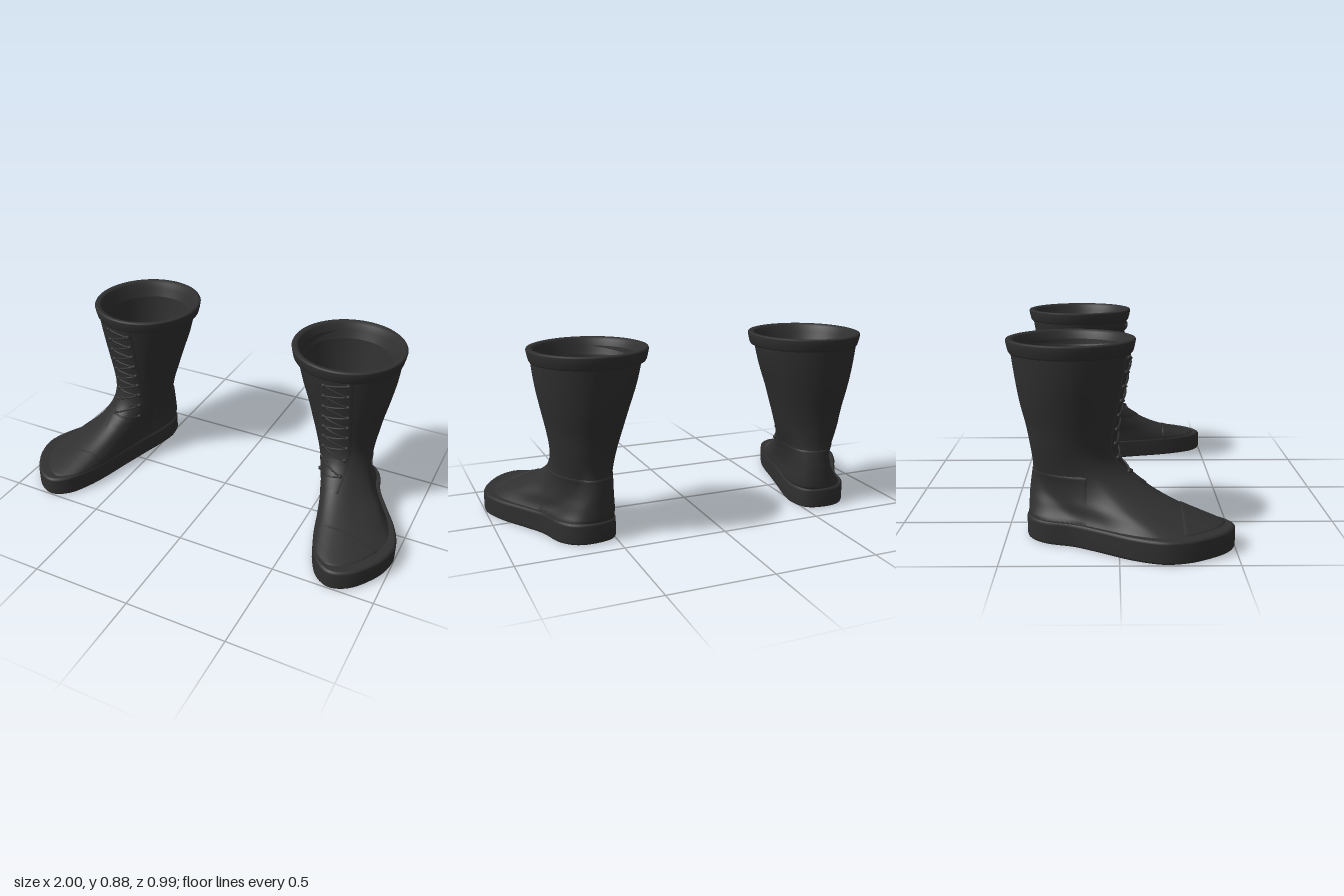
import * as THREE from 'three';
import { mergeGeometries } from 'three/addons/utils/BufferGeometryUtils.js';

const N = 100; // points around each cross-section

// Footprint outline (x, z), from the heel round the outer side to the toe and back
const FOOT = [
  [0.60, -0.41], [0.70, -0.39], [0.76, -0.32], [0.80, -0.20], [0.87, -0.08],
  [0.945, 0.04], [0.985, 0.13], [1.00, 0.20], [0.985, 0.29], [0.94, 0.38],
  [0.87, 0.465], [0.78, 0.50], [0.70, 0.455], [0.65, 0.37], [0.61, 0.26],
  [0.57, 0.10], [0.53, -0.05], [0.49, -0.20], [0.48, -0.29], [0.505, -0.375],
];
const SOLE_BOX = [0.48, 1.0, -0.41, 0.50, 0];
const CUFF_BOX = [0.285, 0.84, -0.495, 0.075, 1];

// The footprint scaled to the square from -1 to 1
const outline = new THREE.CatmullRomCurve3(
  FOOT.map(([x, z]) => new THREE.Vector3((x - 0.74) / 0.26, 0, (z - 0.045) / 0.455)), true);

// Upper: height, inner x, outer x, back z, front z, roundness (0 footprint, 1 ellipse)
const LEVELS = [
  [0.09, 0.490, 0.970, -0.402, 0.480, 0],
  [0.10, 0.490, 0.950, -0.400, 0.455, 0],
  [0.13, 0.488, 0.900, -0.400, 0.365, 0.03],
  [0.16, 0.487, 0.860, -0.400, 0.280, 0.10],
  [0.20, 0.485, 0.808, -0.400, 0.190, 0.25],
  [0.25, 0.480, 0.770, -0.395, 0.105, 0.45],
  [0.30, 0.471, 0.751, -0.388, 0.040, 0.70],
  [0.36, 0.455, 0.746, -0.390, 0.000, 0.90],
  [0.42, 0.438, 0.751, -0.397, -0.010, 1],
  [0.50, 0.413, 0.765, -0.412, -0.003, 1],
  [0.60, 0.382, 0.787, -0.437, 0.013, 1],
  [0.70, 0.348, 0.807, -0.455, 0.030, 1],
  [0.80, 0.323, 0.820, -0.470, 0.048, 1],
  [0.86, 0.315, 0.825, -0.478, 0.056, 1],
];
const spline = new THREE.CubicInterpolant(
  LEVELS.map((l) => l[0]), LEVELS.flatMap((l) => l.slice(1)), 5, new Array(5));
const upperBox = (y) => Array.from(spline.evaluate(y));

// Point at u (0..1) on a section filling the box, grown by off
function sectionPoint(u, y, [x0, x1, z0, z1, round], off = 0) {
  const p = outline.getPoint(((u % 1) + 1) % 1);
  p.lerp(p.clone().normalize(), THREE.MathUtils.clamp(round, 0, 1));
  return new THREE.Vector3(
    (x0 + x1) / 2 + p.x * ((x1 - x0) / 2 + off), y,
    (z0 + z1) / 2 + p.z * ((z1 - z0) / 2 + off));
}
const ring = (y, box, off) =>
  Array.from({ length: N }, (_, j) => sectionPoint(j / N, y, box, off));

// Skin a list of rows of points; closed rows wrap round
function loft(rows, closed = true) {
  const n = rows[0].length, index = [];
  for (let i = 0; i < rows.length - 1; i++) {
    for (let j = 0; j < (closed ? n : n - 1); j++) {
      const a = i * n + j, b = i * n + (j + 1) % n, c = a + n, d = b + n;
      index.push(a, c, b, b, c, d);
    }
  }
  const geo = new THREE.BufferGeometry().setFromPoints(rows.flat());
  geo.setIndex(index);
  geo.computeVertexNormals();
  return geo;
}

// u between lo and hi where the upper's coordinate rises (or falls) through value
function findU(y, axis, value, lo, hi) {
  const at = (u) => sectionPoint(u, y, upperBox(y))[axis];
  const rising = at(hi) > at(lo);
  for (let k = 0; k < 24; k++) {
    const mid = (lo + hi) / 2;
    if ((at(mid) < value) === rising) lo = mid; else hi = mid;
  }
  return (lo + hi) / 2;
}

// Raised leather panel on the upper, its edges tucked into the surface
function panel(y0, y1, rows, cols, range, height) {
  const grid = [];
  for (let i = -1; i <= rows + 1; i++) {
    const y = THREE.MathUtils.lerp(y0, y1, THREE.MathUtils.clamp(i / rows, 0, 1));
    const [u0, u1] = range(y), row = [];
    for (let j = -1; j <= cols + 1; j++) {
      const edge = i < 0 || j < 0 || i > rows || j > cols;
      const off = edge ? -0.002 : height;
      const p = sectionPoint(
        THREE.MathUtils.lerp(u0, u1, THREE.MathUtils.clamp(j / cols, 0, 1)), y, upperBox(y), off);
      p.y += off * 0.6;
      row.push(p);
    }
    grid.push(row);
  }
  return loft(grid, false);
}

// Point just in front of the shaft at a given x and height
const frontPoint = (x, y, lift) =>
  sectionPoint(findU(y, 'x', x, 0.42, 0.8), y, upperBox(y), lift);

function buildParts() {
  const parts = {};

  // Thick sole with rounded edges, closed above and below
  const soleCentre = (y) => Array.from({ length: N }, () => new THREE.Vector3(0.74, y, 0.045));
  const soleRings = [[0, -0.01], [0, -0.01], [0.004, -0.003], [0.012, 0], [0.088, 0],
    [0.096, -0.004], [0.1, -0.012], [0.1, -0.012]].map(([y, off]) => ring(y, SOLE_BOX, off));
  parts.sole = loft([soleCentre(0), ...soleRings, soleCentre(0.1)]);

  // Foot and shaft, with a lining facing inwards
  const shell = (from, to, off) => loft(Array.from({ length: 49 }, (_, i) => {
    const y = THREE.MathUtils.lerp(from, to, i / 48);
    return ring(y, upperBox(y), off);
  }));
  parts.upper = shell(0.095, 0.85, 0);
  parts.lining = shell(0.84, 0.098, -0.02);

  // Padded cuff rolled over the top edge
  parts.cuff = loft([[0.824, -0.05], [0.816, -0.025], [0.818, -0.015], [0.826, -0.01],
    [0.85, -0.004], [0.872, 0], [0.878, -0.003], [0.88, -0.01], [0.879, -0.024],
    [0.87, -0.034], [0.84, -0.045], [0.80, -0.062]].map(([y, off]) => ring(y, CUFF_BOX, off)));

  // Toe cap, heel counter and lacing placket
  parts.toeCap = panel(0.1, 0.163, 14, 30,
    (y) => [findU(y, 'z', 0.27, 0.1, 0.56), findU(y, 'z', 0.27, 1, 0.56)], 0.004);
  parts.heelCounter = panel(0.1, 0.295, 16, 40,
    (y) => [findU(y, 'z', -0.14, 1, 0.56) - 1, findU(y, 'z', -0.14, 0.1, 0.56)], 0.004);
  parts.placket = panel(0.24, 0.825, 30, 12,
    (y) => [findU(y, 'x', 0.67, 0.42, 0.8), findU(y, 'x', 0.515, 0.42, 0.8)], 0.004);

  // Eyelets in two columns, joined by crossing laces
  const eyelets = [], laces = [];
  const lace = (a, b) => laces.push(new THREE.TubeGeometry(
    new THREE.CatmullRomCurve3([0, 0.25, 0.5, 0.75, 1].map((t) => frontPoint(
      THREE.MathUtils.lerp(a[0], b[0], t), THREE.MathUtils.lerp(a[1], b[1], t), 0.009))),
    10, 0.005, 6));
  for (let i = 0; i < 9; i++) {
    const y = 0.285 + i * 0.0635;
    const inner = [0.535, y - 0.01], outer = [0.65, y + 0.01];
    for (const [x, ey] of [inner, outer]) {
      const p = frontPoint(x, ey, 0.007);
      eyelets.push(new THREE.SphereGeometry(0.011, 10, 8).translate(p.x, p.y, p.z));
    }
    lace(inner, outer);
    if (i < 8) lace(outer, [0.535, y + 0.0535]);
  }
  parts.eyelets = mergeGeometries(eyelets);
  parts.laces = mergeGeometries(laces);
  return parts;
}

// Mirrored copy in x with the corner order restored
function mirrored(geo) {
  const copy = geo.clone().scale(-1, 1, 1), idx = copy.index;
  for (let i = 0; i < idx.count; i += 3) {
    const b = idx.getX(i + 1);
    idx.setX(i + 1, idx.getX(i + 2));
    idx.setX(i + 2, b);
  }
  return copy;
}

export function createModel() {
  const leather = new THREE.MeshStandardMaterial({ color: 0x303030 });
  leather.name = 'black leather';
  const model = new THREE.Group();
  model.name = 'boots';
  const parts = buildParts();
  for (const side of ['left', 'right']) {
    const boot = new THREE.Group();
    boot.name = side + 'Boot';
    for (const [name, geo] of Object.entries(parts)) {
      const mesh = new THREE.Mesh(side === 'left' ? geo : mirrored(geo), leather);
      mesh.name = name;
      boot.add(mesh);
    }
    model.add(boot);
  }
  return model;
}
